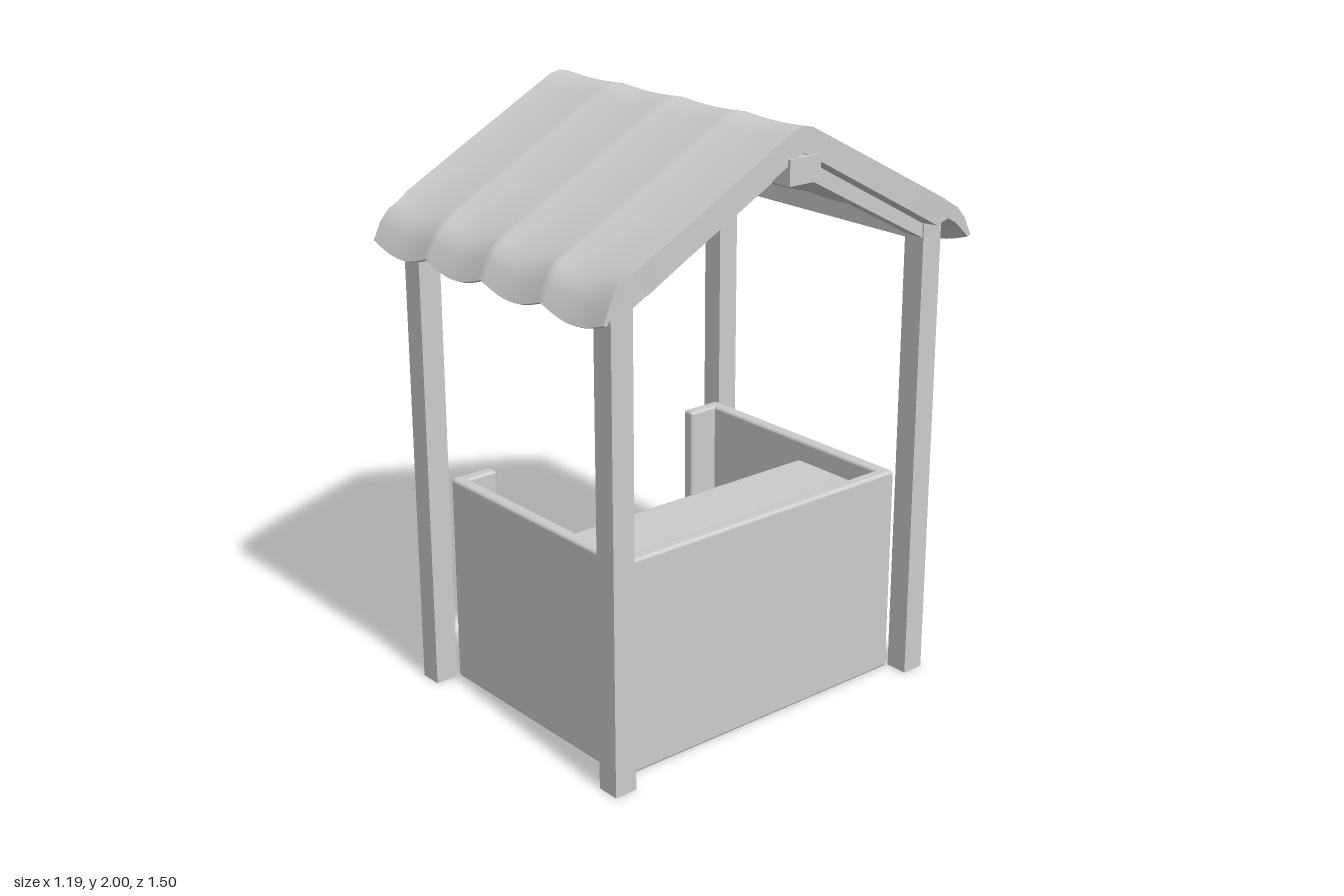
import * as THREE from 'three';
import { toCreasedNormals } from 'three/addons/utils/BufferGeometryUtils.js';
import { RoundedBoxGeometry } from 'three/addons/geometries/RoundedBoxGeometry.js';

const material = new THREE.MeshStandardMaterial({ color: 0xcccccc });

function add(group, name, geometry) {
  const mesh = new THREE.Mesh(geometry, material);
  mesh.name = name;
  group.add(mesh);
  return mesh;
}

// Box given by its min and max corners, with optionally softened edges
function block(group, name, x, y, z, radius = 0) {
  const size = [x, y, z].map(([a, b]) => b - a);
  const geometry = radius
    ? new RoundedBoxGeometry(...size, 2, radius)
    : new THREE.BoxGeometry(...size);
  const mesh = add(group, name, geometry);
  mesh.position.set(...[x, y, z].map(([a, b]) => (a + b) / 2));
  return mesh;
}

// Draped canopy: a cross-section swept along x, sagging between its seams
function canopyGeometry() {
  // Half section from ridge to eave: [z, y] on the top and on the underside
  const top = [[0, 2], [0.035, 1.993], [0.07, 1.975], [0.26, 1.875], [0.46, 1.769], [0.62, 1.685],
    [0.665, 1.66], [0.695, 1.642], [0.722, 1.605], [0.75, 1.545]];
  const under = [[0, 1.92], [0.03, 1.908], [0.06, 1.89], [0.25, 1.787], [0.44, 1.684], [0.59, 1.602],
    [0.655, 1.612], [0.685, 1.595], [0.71, 1.57], [0.738, 1.54]];
  const full = (half) => [...half.slice(1).reverse().map(([z, y]) => [-z, y]), ...half];
  const upper = full(top);
  const n = upper.length;
  const loop = [...upper, ...full(under).reverse()];
  const columns = 64;
  const half = 0.588;

  const point = (i, j) => {
    const [z, y] = loop[j % loop.length];
    const x = -half + (2 * half * i) / columns;
    const eave = THREE.MathUtils.smoothstep(Math.abs(z), 0.58, 0.74);
    const sag = (0.007 + 0.025 * eave) * Math.abs(Math.sin((Math.PI * 4 * i) / columns));
    const pinch = 1 - 0.025 * Math.exp(-(((Math.abs(z) - 0.67) / 0.04) ** 2));
    return [x * pinch, y - sag, z];
  };

  const positions = [];
  const quad = (a, b, c, d) => positions.push(...a, ...b, ...c, ...a, ...c, ...d);
  for (let i = 0; i < columns; i++) {
    for (let j = 0; j < loop.length; j++) {
      quad(point(i, j), point(i, j + 1), point(i + 1, j + 1), point(i + 1, j));
    }
  }
  // Gable edges
  for (let k = 0; k < n - 1; k++) {
    const b0 = loop.length - 1 - k;
    const b1 = b0 - 1;
    quad(point(columns, b0), point(columns, k), point(columns, k + 1), point(columns, b1));
    quad(point(0, b0), point(0, b1), point(0, k + 1), point(0, k));
  }
  const geometry = new THREE.BufferGeometry();
  geometry.setAttribute('position', new THREE.Float32BufferAttribute(positions, 3));
  return toCreasedNormals(geometry, 0.6);
}

// Sloping rafter outline in the (z, y) plane, extruded along x
function rafterGeometry(width) {
  const shape = new THREE.Shape([
    new THREE.Vector2(0.05, 1.835), new THREE.Vector2(0.6, 1.545),
    new THREE.Vector2(0.6, 1.61), new THREE.Vector2(0.05, 1.905),
  ]);
  return new THREE.ExtrudeGeometry(shape, { depth: width, bevelEnabled: false })
    .translate(0, 0, -width / 2)
    .rotateY(-Math.PI / 2);
}

export function createModel() {
  const model = new THREE.Group();
  model.name = 'marketStall';

  // Posts and rafters
  const frame = new THREE.Group();
  frame.name = 'frame';
  model.add(frame);
  const rafter = rafterGeometry(0.07);
  for (const sx of [-1, 1]) {
    for (const sz of [-1, 1]) {
      const post = block(frame, 'cornerPost', [-0.04, 0.04], [0, 1.6], [-0.04, 0.04]);
      post.position.x = sx * 0.487;
      post.position.z = sz * 0.636;
      const beam = add(frame, 'rafter', rafter);
      beam.position.x = sx * 0.487;
      if (sz < 0) beam.rotation.y = Math.PI;
    }
  }

  // Ridge and eave beams
  block(frame, 'ridgeBeam', [-0.597, 0.597], [1.83, 1.91], [-0.062, 0.062]);
  for (const sz of [-1, 1]) {
    const eave = block(frame, 'eaveBeam', [-0.45, 0.45], [1.535, 1.605], [-0.038, 0.038]);
    eave.position.z = sz * 0.636;
  }

  // Low walls, with an entrance left open on one side
  const walls = new THREE.Group();
  walls.name = 'walls';
  model.add(walls);
  const h = [0, 0.73];
  block(walls, 'frontWall', [-0.45, 0.45], h, [0.54, 0.586], 0.012);
  block(walls, 'backWall', [-0.45, 0.45], h, [-0.586, -0.54], 0.012);
  block(walls, 'sideWall', [0.405, 0.451], h, [-0.586, 0.586], 0.012);
  block(walls, 'frontEntranceReturn', [-0.451, -0.405], h, [0.43, 0.584], 0.01);
  block(walls, 'backEntranceReturn', [-0.451, -0.405], h, [-0.584, -0.43], 0.01);

  // Counter top and the lower panel beneath it
  block(model, 'counterTop', [0.035, 0.41], [0.615, 0.66], [-0.545, 0.545], 0.018);
  block(model, 'counterPanel', [0.07, 0.116], [0, 0.45], [-0.545, 0.545], 0.01);

  add(model, 'canopy', canopyGeometry());
  return model;
}
